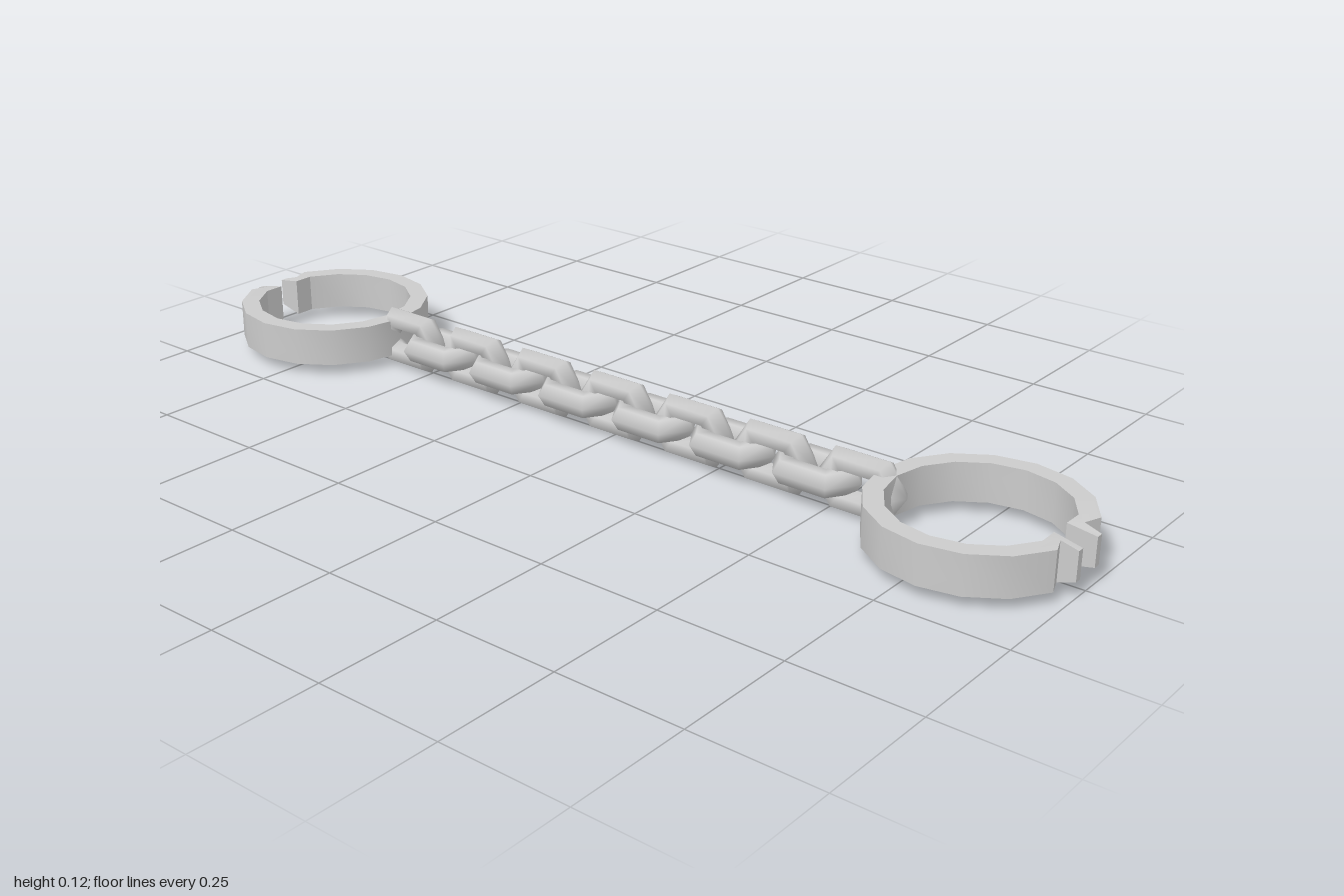
import * as THREE from 'three';
import { mergeVertices, toCreasedNormals } from 'three/addons/utils/BufferGeometryUtils.js';

const MID_Y = 0.062;
const PITCH = 0.187;
const material = new THREE.MeshStandardMaterial({ color: 0xcccccc });

// Stretched six-sided ring with a hexagonal bar
function linkGeometry() {
  let g = new THREE.TorusGeometry(0.0433, 0.026, 6, 6);
  const p = g.attributes.position;
  for (let i = 0; i < p.count; i++) {
    const x = p.getX(i);
    p.setX(i, x * 1.1 + Math.sign(x) * 0.0185);
  }
  g.deleteAttribute('uv');
  g.deleteAttribute('normal');
  g = mergeVertices(g, 1e-5);
  g.computeVertexNormals();
  return g;
}

// Open sixteen-sided band with two outward lugs beside the gap (gap faces +x)
function cuffGeometry() {
  const height = 0.077, step = Math.PI / 8;
  const lug = [[0.15, 0.022], [0.205, 0.026], [0.205, 0.04], [0.172, 0.042]];
  const pts = lug.map(([x, y]) => new THREE.Vector2(x, y));
  for (let i = 1; i <= 15; i++) {
    pts.push(new THREE.Vector2(0.2 * Math.cos(i * step), 0.2 * Math.sin(i * step)));
  }
  for (const [x, y] of [...lug].reverse()) pts.push(new THREE.Vector2(x, -y));
  for (let i = 15; i >= 1; i--) {
    pts.push(new THREE.Vector2(0.163 * Math.cos(i * step), 0.163 * Math.sin(i * step)));
  }
  const g = new THREE.ExtrudeGeometry(new THREE.Shape(pts), { depth: height, bevelEnabled: false });
  g.translate(0, 0, -height / 2);
  g.rotateX(-Math.PI / 2);
  // Taper the lug tips
  const p = g.attributes.position;
  for (let i = 0; i < p.count; i++) {
    if (p.getX(i) > 0.201) p.setY(i, p.getY(i) * 0.74);
  }
  return toCreasedNormals(g, 0.5);
}

export function createModel() {
  const model = new THREE.Group();
  model.name = 'shackles';

  // Chain: upright links alternate with flat ones
  const chain = new THREE.Group();
  chain.name = 'chain';
  const link = linkGeometry();
  for (let i = -6; i <= 6; i++) {
    const upright = i % 2 === 0;
    const mesh = new THREE.Mesh(link, material);
    mesh.name = upright ? 'uprightLink' : 'flatLink';
    mesh.position.set(i * PITCH / 2, MID_Y, 0);
    if (!upright) mesh.rotation.x = Math.PI / 2;
    chain.add(mesh);
  }
  model.add(chain);

  // Cuffs, gaps facing outward
  const cuff = cuffGeometry();
  for (const side of [1, -1]) {
    const mesh = new THREE.Mesh(cuff, material);
    mesh.name = side > 0 ? 'leftCuff' : 'rightCuff';
    mesh.position.set(side * 0.795, MID_Y, 0);
    if (side < 0) mesh.rotation.y = Math.PI;
    model.add(mesh);
  }
  return model;
}
